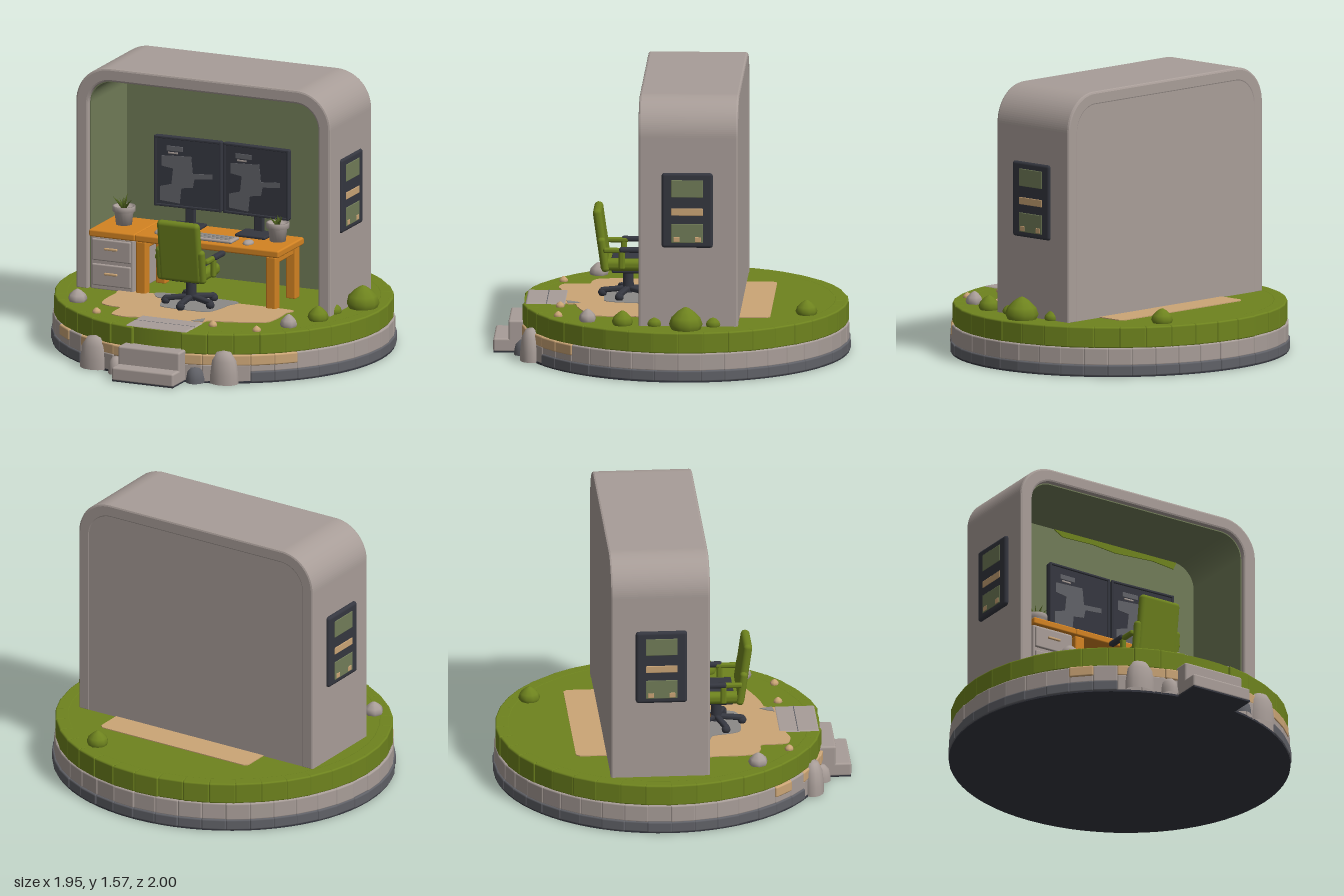
import * as THREE from 'three';
import { RoundedBoxGeometry } from 'three/addons/geometries/RoundedBoxGeometry.js';

const mat = (name, color, side = THREE.FrontSide) => {
  const m = new THREE.MeshStandardMaterial({ color, side });
  m.name = name;
  return m;
};

export function createModel() {
  const stone = mat('pale stone', 0xa89d98), grass = mat('grass green', 0x6e831e);
  const sage = mat('sage wall', 0x717c58), dark = mat('charcoal', 0x353740);
  const slate = mat('slate grey', 0x606167), sand = mat('sand', 0xcba576);
  const wood = mat('orange wood', 0xd38322), grey = mat('mat grey', 0x8b8987);
  const leaf = mat('leaf green', 0x4e611e, THREE.DoubleSide);
  const root = new THREE.Group();
  let seed = 7;
  const rnd = () => (seed = (seed * 16807) % 2147483647) / 2147483647;

  const add = (name, geo, m, x = 0, y = 0, z = 0, parent = root) => {
    const mesh = new THREE.Mesh(geo, m);
    mesh.name = name;
    mesh.position.set(x, y, z);
    parent.add(mesh);
    return mesh;
  };
  const group = (name, x = 0, y = 0, z = 0, parent = root) => {
    const g = new THREE.Group();
    g.name = name;
    g.position.set(x, y, z);
    parent.add(g);
    return g;
  };
  const box = (name, m, w, h, d, x, y, z, parent = root, r = 0.01) =>
    add(name, new RoundedBoxGeometry(w, h, d, 2, Math.min(r, w / 2.1, h / 2.1, d / 2.1)), m, x, y, z, parent);
  const blob = (pts, n = 12) => new THREE.LatheGeometry(pts.map(p => new THREE.Vector2(...p)), n);
  // Thin plate from an outline; smooth outlines run through a closed curve
  const plate = (pts, depth, smooth) => {
    let v = pts.map(p => new THREE.Vector2(...p));
    if (smooth) {
      const c = new THREE.CatmullRomCurve3(pts.map(p => new THREE.Vector3(p[0], p[1], 0)), true, 'catmullrom', 0.4);
      v = c.getPoints(90).slice(0, -1).map(p => new THREE.Vector2(p.x, p.y));
    }
    return new THREE.ExtrudeGeometry(new THREE.Shape(v), { depth, bevelEnabled: false });
  };

  // Round island: solid cores ringed by blocks
  const CZ = -0.07, FLAT = 0.955;
  const core = (name, m, y0, y1, r) =>
    add(name, new THREE.CylinderGeometry(r, r, y1 - y0, 72), m, 0, (y0 + y1) / 2, CZ).scale.z = FLAT;
  core('underside', dark, 0, 0.012, 0.972);
  core('stoneCore', slate, 0.01, 0.16, 0.94);
  core('grassTop', grass, 0.16, 0.28, 0.945);
  const ring = (name, m, n, r, y0, y1, keep) => {
    const g = group(name), d = 0.08;
    for (let i = 0; i < n; i++) {
      const a = ((i + 0.5) / n) * Math.PI * 2 - Math.PI;
      if (!keep(Math.abs(a))) continue;
      const x = Math.sin(a) * r, z = Math.cos(a) * r * FLAT;
      const t = Math.atan2(Math.sin(a), Math.cos(a) / FLAT), k = d / 2 + rnd() * 0.006;
      box(name + 'Block', m, (2 * Math.PI * r) / n * 1.005, y1 - y0, d,
        x - Math.sin(t) * k, (y0 + y1) / 2, CZ + z - Math.cos(t) * k, g, 0.01).rotation.y = t;
    }
  };
  ring('grassEdge', grass, 40, 0.962, 0.16, 0.281, a => a > 0.2);
  ring('upperStones', stone, 44, 0.97, 0.062, 0.164, a => a > 0.62);
  ring('footStones', slate, 44, 0.978, 0.004, 0.068, a => a > 0.62);
  ring('frontStones', stone, 44, 0.972, 0.004, 0.108, a => a <= 0.64);
  ring('sandBand', sand, 44, 0.974, 0.1, 0.164, a => a < 0.85);

  // Boulders leaning on the front edge
  const boulder = [[1, 0], [0.98, 0.3], [0.85, 0.7], [0.5, 0.95], [0, 1]];
  for (const [m, x, z, r, h] of [[stone, -0.41, 0.765, 0.09, 0.19], [stone, 0.39, 0.775, 0.085, 0.19],
    [stone, -0.25, 0.815, 0.05, 0.1], [slate, 0.235, 0.815, 0.055, 0.09]])
    add('boulder', blob(boulder, 14), m, x, 0.003, z).scale.set(r, h - 0.003, 0.065);

  // Stone steps on a dark footing
  box('stepFooting', dark, 0.376, 0.012, 0.29, -0.012, 0.006, 0.853, root, 0.002);
  for (const [h, z0, z1] of [[0.287, 0.59, 0.82], [0.185, 0.7, 0.915], [0.082, 0.8, 1.0]])
    box('step', stone, 0.38, h - 0.004, z1 - z0, -0.012, h / 2 + 0.002, (z0 + z1) / 2, root, 0.012);
  box('stepSlabSeam', slate, 0.375, 0.006, 0.006, -0.012, 0.285, 0.7);

  // Sandy path, rear strip and grey mat
  const ground = (name, m, pts, y, smooth) =>
    add(name, plate(pts.map(([x, z]) => [x, -z]), 0.006, smooth), m, 0, y, 0).rotation.x = -Math.PI / 2;
  ground('sandPath', sand, [[-0.51, 0.13], [-0.54, 0.22], [-0.54, 0.36], [-0.52, 0.44], [-0.46, 0.47], [-0.39, 0.48],
    [-0.385, 0.56], [-0.37, 0.63], [-0.29, 0.65], [-0.2, 0.63], [0, 0.63], [0.16, 0.6], [0.18, 0.54], [0.27, 0.52],
    [0.42, 0.47], [0.5, 0.42], [0.515, 0.3], [0.51, 0.2], [0.5, 0.13], [0, 0.13]], 0.279, true);
  ground('rearSand', sand, [[-0.48, -0.38], [-0.48, -0.55], [-0.46, -0.57], [0.49, -0.57], [0.51, -0.55], [0.51, -0.38]], 0.279);
  ground('greyMat', grey, [[-0.31, 0.1], [-0.3, 0.19], [-0.24, 0.22], [-0.21, 0.33], [-0.16, 0.38], [0.08, 0.38],
    [0.13, 0.32], [0.15, 0.2], [0.15, 0.1]], 0.282, true);
  ground('pathStone', grey, [[0.1, 0.59], [0.12, 0.55], [0.15, 0.51], [0.17, 0.58]], 0.282);

  // Booth: U-shaped shell, back wall and sage lining
  const FLOOR = 0.27;
  const archPoints = (x0, x1, top, r) => {
    const p = new THREE.Path();
    p.moveTo(x1, FLOOR).lineTo(x1, top - r);
    p.absarc(x1 - r, top - r, r, 0, Math.PI / 2, false);
    p.absarc(x0 + r, top - r, r, Math.PI / 2, Math.PI, false);
    p.lineTo(x0, FLOOR);
    return p.getPoints(14);
  };
  const booth = group('booth');
  const extrude = (name, pts, m, z0, z1, b = 0) => add(name, new THREE.ExtrudeGeometry(new THREE.Shape(pts), {
    depth: z1 - z0 - 2 * b, bevelEnabled: b > 0, bevelSize: b, bevelThickness: b, bevelOffset: -b,
    bevelSegments: 2 }), m, 0, 0, z0 + b, booth);
  const band = (outer, inner) => [...archPoints(...outer), ...archPoints(...inner).reverse()];
  extrude('boothShell', band([-0.812, 0.762, 1.57, 0.21], [-0.735, 0.685, 1.492, 0.14]), stone, -0.4, 0.16, 0.012);
  extrude('backWall', archPoints(-0.8, 0.75, 1.558, 0.2), stone, -0.398, -0.36);
  extrude('innerLining', band([-0.745, 0.695, 1.502, 0.15], [-0.729, 0.679, 1.486, 0.134]), sage, -0.37, 0.13);
  extrude('innerBackWall', archPoints(-0.735, 0.685, 1.49, 0.14), sage, -0.365, -0.35);
  add('mossStrip', plate([[-0.26, 1.484], [-0.2, 1.45], [0, 1.455], [0.15, 1.44], [0.4, 1.455], [0.54, 1.44], [0.56, 1.484]], 0.006),
    grass, 0, 0, -0.35, booth);

  // Framed panel on each outer side
  for (const s of [-1, 1]) {
    const g = group('sidePanel', s > 0 ? 0.757 : -0.814, 0.945, -0.115);
    g.rotation.y = s * Math.PI / 2;
    box('panelFrame', dark, 0.29, 0.43, 0.036, 0, 0, 0, g, 0.018);
    for (const [m, h, y] of [[sage, 0.1, 0.125], [sand, 0.042, -0.008], [sage, 0.11, -0.13]])
      box('panelWindow', m, 0.18, h, 0.008, 0, y, 0.017, g, 0.004);
    for (const x of [-0.06, 0.06]) box('panelLight', sand, 0.035, 0.03, 0.008, x, -0.165, 0.019, g, 0.004);
  }

  // Desk with drawers
  const desk = group('desk');
  box('deskTop', wood, 0.89, 0.042, 0.35, 0, 0.604, -0.008, desk);
  box('cabinetTop', wood, 0.285, 0.042, 0.35, -0.585, 0.604, -0.008, desk);
  for (const x of [-0.412, 0.392]) {
    for (const z of [0.125, -0.14]) box('deskLeg', wood, 0.062, 0.31, 0.06, x, 0.43, z, desk);
    box('deskRail', wood, 0.04, 0.05, 0.26, x, 0.56, 0, desk);
  }
  box('drawerCabinet', stone, 0.265, 0.31, 0.32, -0.592, 0.43, -0.01, desk);
  for (const y of [0.365, 0.51]) {
    box('drawerFront', stone, 0.24, 0.125, 0.02, -0.592, y, 0.152, desk, 0.008);
    box('drawerHandle', sand, 0.08, 0.014, 0.014, -0.592, y + 0.01, 0.165, desk, 0.005);
  }

  // Two monitors with code patches
  const code = [[-0.16, 0.09], [0.02, 0.1], [0.03, 0.0], [0.15, 0.01], [0.15, -0.02], [0.04, -0.03],
    [0.03, -0.08], [-0.04, -0.09], [-0.05, -0.18], [-0.17, -0.17], [-0.17, -0.09], [-0.1, -0.07], [-0.09, 0.02], [-0.16, 0.03]];
  for (const [x, turn] of [[-0.243, 0.03], [0.18, -0.03]]) {
    const g = group('monitor', x, 0.935, -0.13);
    g.rotation.y = turn;
    box('monitorCase', dark, 0.412, 0.41, 0.035, 0, 0, 0, g, 0.012);
    for (const s of [-1, 1]) {
      box('bezelSide', dark, 0.014, 0.41, 0.012, s * 0.198, 0, 0.02, g, 0.004);
      box('bezelRail', dark, 0.41, 0.014, 0.012, 0, s * 0.197, 0.02, g, 0.004);
    }
    add('codeBlock', plate(code, 0.004), slate, 0, 0, 0.016, g);
    box('codeLine', slate, 0.1, 0.03, 0.005, -0.08, 0.135, 0.018, g);
    box('codeTitle', stone, 0.06, 0.01, 0.005, -0.09, 0.11, 0.02, g);
    box('standNeck', dark, 0.06, 0.26, 0.025, 0, -0.19, -0.02, g);
    box('standFoot', dark, 0.19, 0.02, 0.14, 0, -0.303, 0.03, g);
  }

  // Keyboard, mouse and small desk items
  box('keyboard', stone, 0.36, 0.018, 0.11, -0.04, 0.634, 0.08, desk);
  for (let i = 0; i < 3; i++) box('keyRow', grey, 0.32, 0.006, 0.02, -0.04, 0.643, 0.05 + i * 0.03, desk, 0.002);
  for (const [x, z] of [[0.22, 0.08], [-0.33, 0.07]])
    add('mouse', new THREE.SphereGeometry(1, 12, 8), stone, x, 0.628, z, desk).scale.set(0.03, 0.02, 0.042);

  // Potted plants
  for (const [x, z, tall] of [[-0.595, -0.02, 0.13], [0.342, -0.05, 0.09]]) {
    const g = group('pottedPlant', x, 0.624, z);
    add('pot', blob([[0, 0], [0.045, 0], [0.054, 0.075], [0.065, 0.078], [0.066, 0.108], [0.055, 0.108], [0.05, 0.09], [0, 0.09]], 18), stone, 0, 0, 0, g);
    for (let i = 0; i < 11; i++) {
      const blade = add('leaf', new THREE.ConeGeometry(0.012, tall * 0.7, 5).translate(0, tall * 0.3, 0), leaf, 0, 0.09, 0, g);
      blade.rotation.set(0, i * 2.4, i ? 0.25 + rnd() * 0.55 : 0, 'YXZ');
      blade.scale.y = 0.75 + rnd() * 0.4;
    }
  }

  // Swivel chair facing the desk
  const chair = group('chair', -0.055, 0.28, 0.25);
  box('backrest', grass, 0.26, 0.36, 0.05, 0, 0.345, 0.148, chair, 0.024).rotation.x = 0.14;
  box('lowerBack', grass, 0.3, 0.2, 0.045, 0, 0.265, 0.135, chair, 0.022).rotation.x = 0.14;
  box('seat', grass, 0.28, 0.07, 0.25, 0, 0.205, 0.02, chair, 0.03);
  box('seatCushion', dark, 0.2, 0.012, 0.18, 0, 0.239, 0, chair, 0.005);
  box('seatPan', dark, 0.18, 0.03, 0.16, 0, 0.165, 0.01, chair);
  add('column', new THREE.CylinderGeometry(0.028, 0.032, 0.14, 14), dark, 0, 0.1, 0, chair);
  for (const s of [-1, 1]) {
    box('armBack', grass, 0.03, 0.03, 0.13, s * 0.152, 0.295, 0.07, chair, 0.012);
    box('armPad', dark, 0.038, 0.03, 0.13, s * 0.158, 0.3, -0.02, chair, 0.013);
    box('armPost', grass, 0.028, 0.11, 0.035, s * 0.152, 0.24, 0.03, chair, 0.012);
  }
  for (let i = 0; i < 5; i++) {
    const spoke = group('baseSpoke', 0, 0, 0, chair);
    spoke.rotation.y = i * Math.PI * 0.4;
    box('spokeArm', dark, 0.036, 0.03, 0.16, 0, 0.045, 0.078, spoke, 0.012).rotation.x = 0.1;
    add('caster', new THREE.SphereGeometry(0.025, 12, 8), dark, 0, 0.025, 0.145, spoke);
  }

  // Bushes, rocks and pebbles
  const bush = [[0.85, 0], [1, 0.25], [0.85, 0.55], [0.45, 0.83], [0.15, 0.97], [0, 1]];
  for (const [x, z, r, h] of [[0.39, -0.77, 0.062, 0.085], [0.84, -0.11, 0.095, 0.13], [0.73, 0.25, 0.06, 0.085],
    [0.745, 0.07, 0.045, 0.06], [0.75, -0.26, 0.045, 0.06]])
    add('bush', blob(bush, 10), grass, x, 0.277, z).scale.set(r, h, r);
  const pebble = (m, x, z, r, h) => {
    const p = add('rock', blob(bush, 7), m, x, 0.277, z);
    p.scale.set(r, h, r);
    p.rotation.y = rnd() * 6;
  };
  pebble(stone, -0.67, 0.44, 0.056, 0.075);
  pebble(stone, 0.64, 0.45, 0.05, 0.075);
  for (const [x, z] of [[-0.465, 0.63], [0.25, 0.62], [0.52, 0.62]]) pebble(sand, x, z, 0.026, 0.035);
  return root;
}
